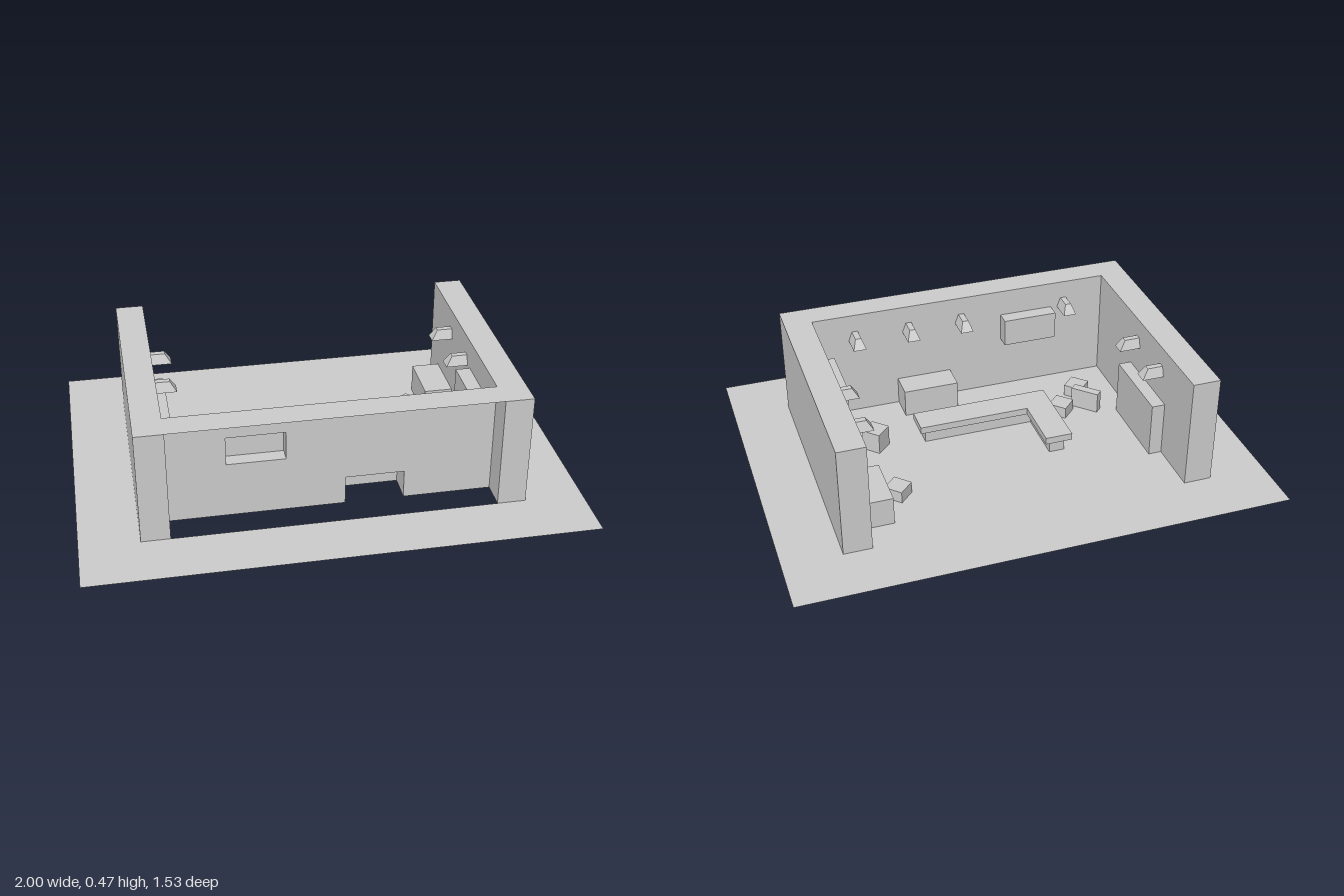
import * as THREE from 'three';

const grey = new THREE.MeshStandardMaterial({ color: 0xcccccc, side: THREE.DoubleSide });
grey.name = 'plain grey';

const H = 0.47; // wall height

export function createModel() {
  const room = new THREE.Group();
  room.name = 'openRoom';

  const add = (name, geo, parent = room) => {
    const mesh = new THREE.Mesh(geo, grey);
    mesh.name = name;
    parent.add(mesh);
    return mesh;
  };
  const plan = pts => pts.map(([x, z]) => new THREE.Vector2(x, -z));

  // Flat horizontal sheet from a plan outline, with optional holes
  const sheet = (pts, y, holes = []) => {
    const shape = new THREE.Shape(plan(pts));
    holes.forEach(h => shape.holes.push(new THREE.Path(plan(h))));
    return new THREE.ShapeGeometry(shape).rotateX(-Math.PI / 2).translate(0, y, 0);
  };

  // Upright faces along a plan path
  const upright = (pts, y0, y1, closed = false) => {
    const pos = [];
    const n = closed ? pts.length : pts.length - 1;
    for (let i = 0; i < n; i++) {
      const [ax, az] = pts[i], [bx, bz] = pts[(i + 1) % pts.length];
      pos.push(ax, y0, az, bx, y0, bz, bx, y1, bz, ax, y0, az, bx, y1, bz, ax, y1, az);
    }
    const g = new THREE.BufferGeometry();
    g.setAttribute('position', new THREE.Float32BufferAttribute(pos, 3));
    g.computeVertexNormals();
    return g;
  };
  const rect = (x0, x1, z0, z1) => [[x0, z0], [x1, z0], [x1, z1], [x0, z1]];
  const ell = (i) => [ // counter outline, inset by i
    [-0.295 + i, -0.18 + i], [-0.18 - i, -0.18 + i], [-0.18 - i, 0.055 + i],
    [0.29 - i, 0.055 + i], [0.29 - i, 0.17 - i], [-0.295 + i, 0.17 - i]];

  // Floor sheet, open beneath the walls, floor cabinets and counter
  const openBelow = [
    [-0.763, -0.53], [-0.763, 0.525], [0.763, 0.525], [0.763, -0.53], [0.648, -0.53],
    [0.648, -0.41], [0.53, -0.41], [0.53, -0.18], [0.648, -0.18], [0.648, 0.41],
    [0.292, 0.41], [0.292, 0.295], [0.055, 0.295], [0.055, 0.41], [-0.648, 0.41],
    [-0.648, 0.05], [-0.593, 0.05], [-0.593, -0.3], [-0.648, -0.3], [-0.648, -0.53]];
  add('floor', sheet(rect(-1, 1, -0.763, 0.763), 0, [openBelow, ell(0.025)]));

  // Hollow side walls with end pillars
  for (const s of [-1, 1]) {
    const name = s > 0 ? 'leftWall' : 'rightWall';
    add(name, upright([[0.648, 0.41], [0.648, -0.53], [0.763, -0.53], [0.763, 0.525],
      [0.648, 0.525], [0.648, 0.41]].map(([x, z]) => [s * x, z]), 0, H));
  }
  add('wallTop', sheet([[-0.763, -0.53], [-0.763, 0.525], [0.763, 0.525], [0.763, -0.53],
    [0.648, -0.53], [0.648, 0.41], [-0.648, 0.41], [-0.648, -0.53]], H));

  // Recessed front panel with a cabinet window and a floor notch
  const panel = new THREE.Shape([[-0.648, 0], [0.055, 0], [0.055, 0.12], [0.292, 0.12],
    [0.292, 0], [0.648, 0], [0.648, H], [-0.648, H]].map(p => new THREE.Vector2(...p)));
  panel.holes.push(new THREE.Path([[-0.413, 0.235], [-0.18, 0.235], [-0.18, 0.355],
    [-0.413, 0.355]].map(p => new THREE.Vector2(...p))));
  add('frontPanel', new THREE.ShapeGeometry(panel).translate(0, 0, 0.41));

  // Cabinets, open towards the wall: three sides, lid and (if hung) a base
  const cabinet = (name, pts, y0, y1) => {
    const g = new THREE.Group();
    g.name = name;
    room.add(g);
    add(name + 'Sides', upright(pts, y0, y1), g);
    add(name + 'Lid', sheet(pts, y1), g);
    if (y0 > 0) add(name + 'Base', sheet(pts, y0), g);
  };
  cabinet('frontWallCabinet', [[-0.413, 0.41], [-0.413, 0.35], [-0.18, 0.35], [-0.18, 0.41]], 0.235, 0.355);
  cabinet('frontFloorCabinet', [[0.055, 0.41], [0.055, 0.295], [0.292, 0.295], [0.292, 0.41]], 0, 0.12);
  cabinet('leftFloorCabinet', [[0.648, -0.41], [0.53, -0.41], [0.53, -0.18], [0.648, -0.18]], 0, 0.12);
  cabinet('leftWallCabinet', [[0.648, 0.055], [0.588, 0.055], [0.588, 0.288], [0.648, 0.288]], 0.235, 0.355);
  cabinet('rightTallCabinet', [[-0.648, -0.3], [-0.593, -0.3], [-0.593, 0.05], [-0.648, 0.05]], 0, 0.235);

  // L-shaped counter: slab overhanging a narrower base
  add('counterBase', upright(ell(0.025), 0, 0.06, true));
  add('counterEdge', upright(ell(0), 0.06, 0.09, true));
  add('counterTop', sheet(ell(0), 0.09));
  add('counterUnderside', sheet(ell(0), 0.06, [ell(0.025)]));

  // Stools and a thin board, turned by 45 degrees
  for (const [x, z, h] of [[0.47, -0.24, 0.05], [0.47, 0.113, 0.09], [-0.358, 0.113, 0.05], [-0.475, 0.232, 0.05]]) {
    const stool = add('stool', new THREE.BoxGeometry(0.08, h, 0.08));
    stool.position.set(x, h / 2, z);
    stool.rotation.y = Math.PI / 4;
  }
  const board = add('board', new THREE.BoxGeometry(0.122, 0.09, 0.036));
  board.position.set(-0.474, 0.045, 0.113);
  board.rotation.y = -Math.PI / 4;

  // Wall lamps: boxes narrowed towards the top, flat against the wall at local z = 0
  const lampGeo = new THREE.BoxGeometry(0.055, 0.042, 0.09).translate(0, 0.021, -0.045).toNonIndexed();
  const p = lampGeo.attributes.position;
  for (let i = 0; i < p.count; i++) {
    if (p.getY(i) > 0.02) {
      p.setX(i, p.getX(i) * 0.45);
      if (p.getZ(i) < -0.05) p.setZ(i, -0.064);
    }
  }
  lampGeo.computeVertexNormals();
  const lamp = (x, z, turn) => {
    const m = add('wallLamp', lampGeo);
    m.position.set(x, 0.35, z);
    m.rotation.y = turn;
  };
  for (const x of [-0.47, 0, 0.235, 0.47]) lamp(x, 0.41, 0);
  for (const z of [-0.24, -0.005]) {
    lamp(0.648, z, Math.PI / 2);
    lamp(-0.648, z, -Math.PI / 2);
  }
  return room;
}
